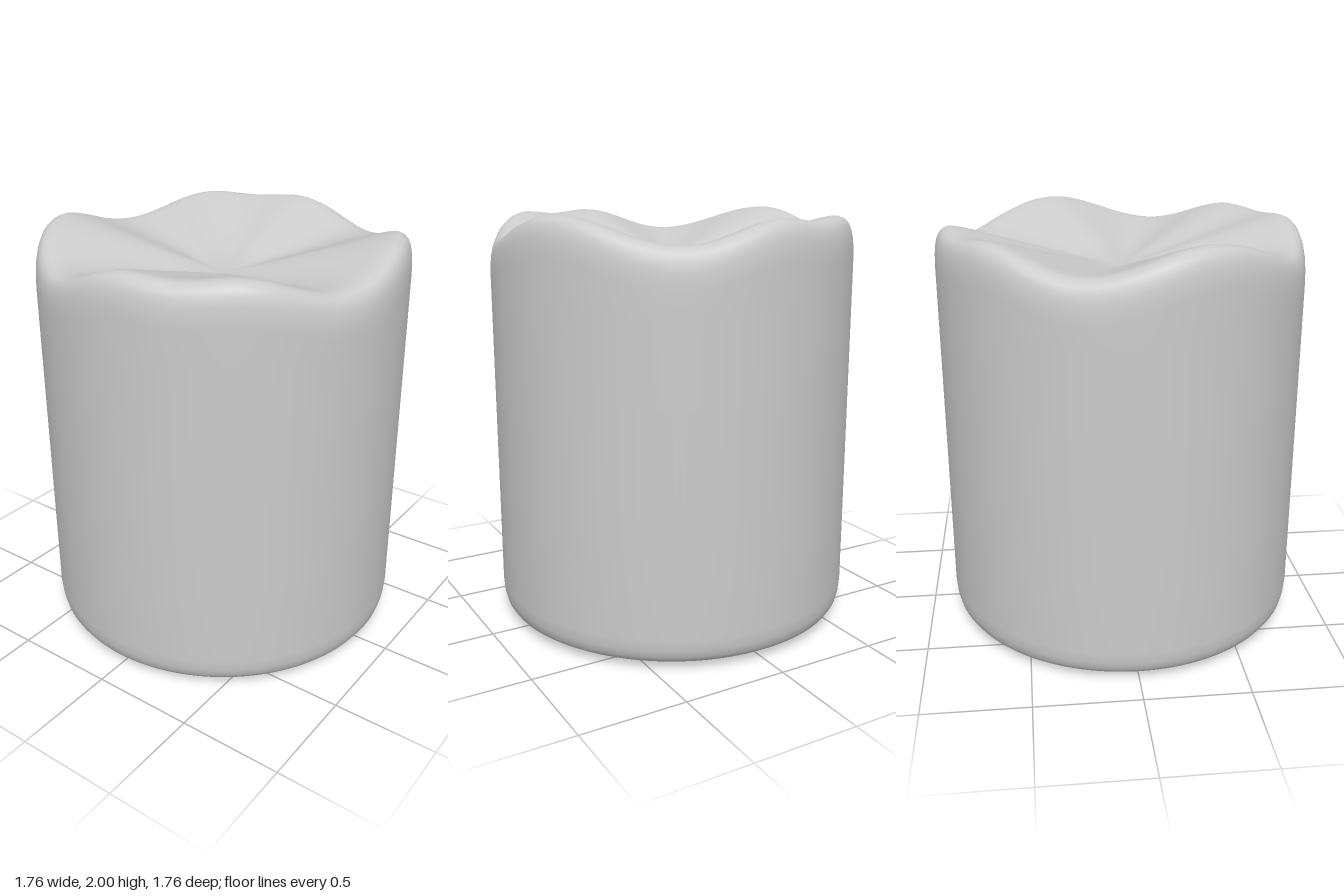
import * as THREE from 'three';
import { mergeVertices } from 'three/addons/utils/BufferGeometryUtils.js';

// Rim crest: [angle in degrees from the front toward +x, height], repeating every half turn
const CREST = [[-17, 1.88], [22, 2.0], [64, 1.88], [97, 1.985], [112, 1.97], [129, 1.985], [163, 1.88]];

function crestHeight(angle) {
  let deg = THREE.MathUtils.radToDeg(angle);
  while (deg >= 163) deg -= 180;
  while (deg < -17) deg += 180;
  const i = CREST.findIndex(([a], k) => k > 0 && deg <= a);
  const [a0, h0] = CREST[i - 1];
  const [a1, h1] = CREST[i];
  const t = (1 - Math.cos(Math.PI * (deg - a0) / (a1 - a0))) / 2;
  return h0 + (h1 - h0) * t;
}

export function createModel() {
  const group = new THREE.Group();
  group.name = 'wavyTopCylinder';

  // Radius and height, from the bottom centre up the wall and over the rim to the sunken centre
  const profile = [
    [0, 0], [0.4, 0.006], [0.7, 0.016], [0.79, 0.022], [0.825, 0.03], [0.85, 0.046],
    [0.866, 0.07], [0.875, 0.105], [0.88, 0.16], [0.88, 0.6], [0.88, 1.2], [0.88, 1.6],
    [0.88, 1.82], [0.878, 1.87], [0.874, 1.91], [0.866, 1.945], [0.854, 1.972], [0.836, 1.99],
    [0.81, 2.0], [0.78, 1.999], [0.74, 1.99], [0.68, 1.973], [0.5, 1.917], [0.25, 1.842], [0, 1.77],
  ].map(([r, y]) => new THREE.Vector2(r, y));

  let geometry = new THREE.LatheGeometry(profile, 180);

  // Sink the rim in waves that fade toward the centre of the top
  const pos = geometry.attributes.position;
  for (let i = 0; i < pos.count; i++) {
    const x = pos.getX(i), y = pos.getY(i), z = pos.getZ(i);
    if (y < 1.7) continue;
    const weight = Math.min(Math.hypot(x, z) / 0.8, 1);
    pos.setY(i, y + (crestHeight(Math.atan2(x, z)) - 2) * weight);
  }

  // Weld the seam so the shading stays smooth all round
  geometry.deleteAttribute('uv');
  geometry.deleteAttribute('normal');
  geometry = mergeVertices(geometry, 1e-4);
  geometry.computeVertexNormals();

  const body = new THREE.Mesh(geometry, new THREE.MeshStandardMaterial({ color: 0xcccccc }));
  body.name = 'body';
  group.add(body);
  return group;
}
